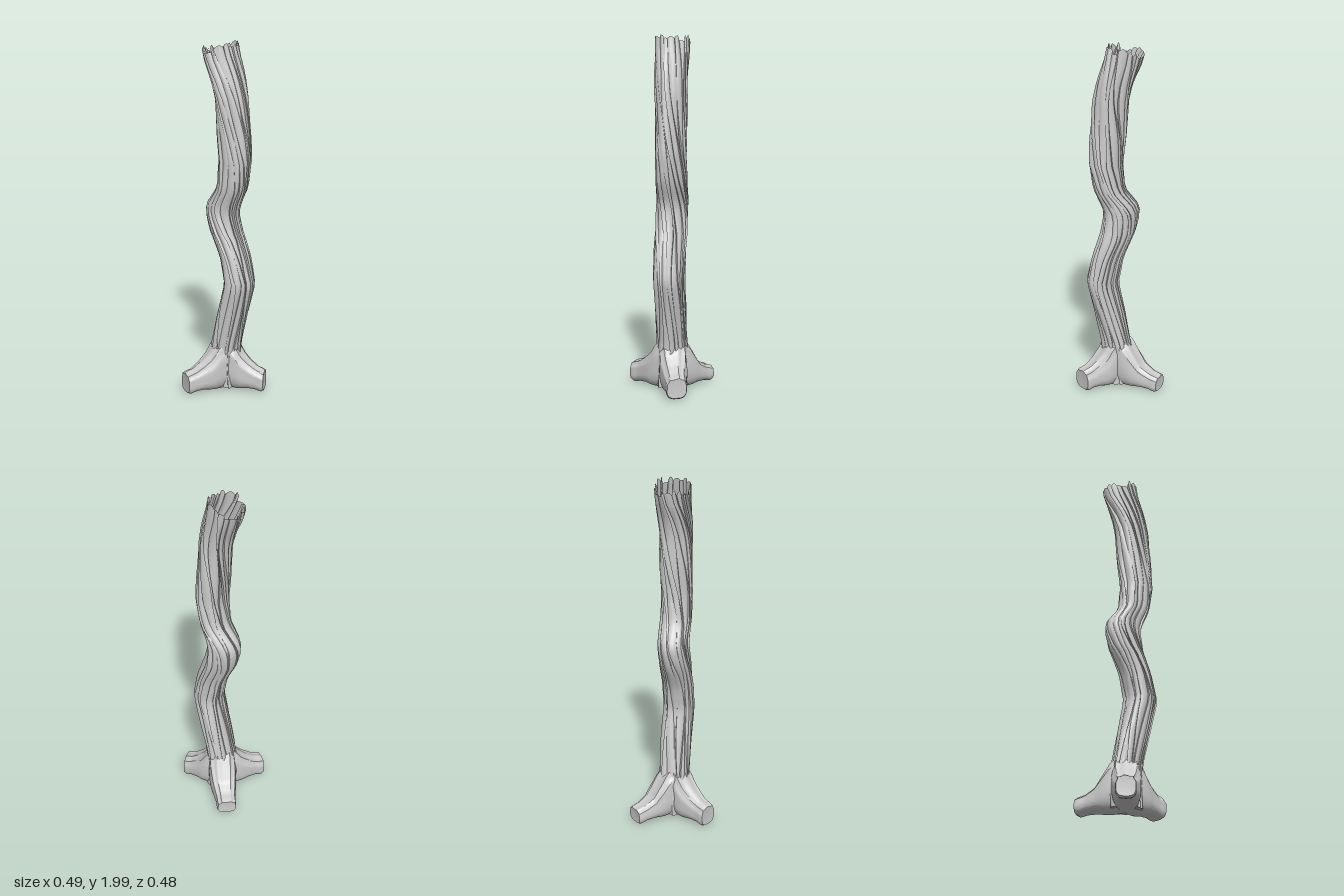
import * as THREE from 'three';
import { toCreasedNormals } from 'three/addons/utils/BufferGeometryUtils.js';

const material = new THREE.MeshStandardMaterial({ color: 0xcccccc, side: THREE.DoubleSide });

// Skin a list of closed rings of Vector3
function loft(rings, name) {
  const n = rings[0].length, index = [];
  const positions = rings.flat().flatMap((p) => [p.x, p.y, p.z]);
  for (let i = 0; i < rings.length - 1; i++) {
    for (let j = 0; j < n; j++) {
      const a = i * n + j, b = i * n + (j + 1) % n;
      index.push(a, a + n, b, b, a + n, b + n);
    }
  }
  const g = new THREE.BufferGeometry();
  g.setAttribute('position', new THREE.Float32BufferAttribute(positions, 3));
  g.setIndex(index);
  const mesh = new THREE.Mesh(toCreasedNormals(g, 0.6), material);
  mesh.name = name;
  return mesh;
}

// Piecewise linear lookup in rows of [key, value, ...]
function sample(rows, t, col) {
  let i = 0;
  while (i < rows.length - 2 && t > rows[i + 1][0]) i++;
  const [a, b] = [rows[i], rows[i + 1]];
  const k = THREE.MathUtils.clamp((t - a[0]) / (b[0] - a[0]), 0, 1);
  return a[col] + (b[col] - a[col]) * k;
}

// Repeatable value in 0..1
const hash = (i) => { const v = Math.sin(i * 127.1 + 3.7) * 43758.5453; return v - Math.floor(v); };

// Trunk: height, centre x, half width in x
const trunkRows = [
  [0.02, -0.005, 0.09], [0.15, -0.012, 0.095], [0.28, 0.004, 0.086], [0.45, 0.04, 0.09],
  [0.65, 0.088, 0.092], [0.8, 0.056, 0.09], [0.95, -0.008, 0.1], [1.05, -0.03, 0.103],
  [1.1, -0.017, 0.106], [1.2, 0.043, 0.09], [1.35, 0.06, 0.096], [1.5, 0.048, 0.1],
  [1.7, 0.034, 0.098], [1.8, 0.012, 0.098], [1.95, -0.042, 0.102],
];
// Twist of the bark with height
const twistRows = [[0, 0], [0.3, 0.1], [0.9, 0.35], [1.1, 0.8], [1.5, 1.4], [1.95, 2.2]];

function buildTrunk() {
  const strips = 19, perStrip = 6, levels = 48, rings = [];
  for (let i = 0; i <= levels; i++) {
    const y = 0.02 + 1.93 * i / levels;
    const cx = sample(trunkRows, y, 1), rx = sample(trunkRows, y, 2);
    const twist = sample(twistRows, y, 1), ring = [];
    for (let s = 0; s < strips; s++) {
      // each strip rises to a lip, then drops sharply to the next one
      const lift = 0.1 + 0.11 * Math.sin(y * (4 + 5 * hash(s)) + 9 * hash(s + 40));
      const wander = 0.4 * Math.sin(y * 6 + 6.3 * hash(s + 80));
      const nextWander = 0.4 * Math.sin(y * 6 + 6.3 * hash((s + 1) % strips + 80));
      for (let k = 0; k < perStrip; k++) {
        const f = Math.min(k / (perStrip - 1), 0.97);
        const u = (s + f + wander * (1 - f) + nextWander * f) / strips * Math.PI * 2 + twist;
        const r = 0.9 + lift * (f - 0.4) + 0.05 * Math.sin(f * Math.PI)
          + 0.03 * Math.sin(3 * u + y * 5);
        // ragged top edge, higher on the right
        const tip = i === levels ? 0.045 * hash(s + 11) * Math.sin(Math.PI * (0.15 + 0.7 * f)) : 0;
        const tilt = 0.022 * Math.cos(u) * Math.max(0, (y - 1.7) / 0.25);
        ring.push(new THREE.Vector3(
          cx + rx * r * Math.cos(u),
          Math.min(y + tip + tilt, 2),
          -0.018 + (0.091 + Math.max(0, y - 1.6) * 0.025) * r * Math.sin(u)));
      }
    }
    rings.push(ring);
  }
  // close the underside
  rings.unshift(rings[0].map(() => new THREE.Vector3(0, 0.025, -0.018)));
  return loft(rings, 'trunk');
}

// Root: flared at the trunk, thinning to a blunt grooved end
function buildRoot(name, endX, endZ, endTop, endHalf, skew, seed) {
  const start = new THREE.Vector3(0, 0, -0.018);
  const dir = new THREE.Vector3(endX, 0, endZ).sub(start);
  const length = dir.length();
  dir.normalize();
  const side = new THREE.Vector3(-dir.z, 0, dir.x);
  // fraction of length: top height, bottom height, half width
  const rows = [
    [0, 0.34, 0.012, 0.075], [0.28, 0.285, 0.006, 0.08], [0.42, 0.225, 0.008, 0.078],
    [0.6, endTop + 0.045, 0.016, 0.068], [0.8, endTop + 0.01, 0.014, endHalf],
    [0.94, endTop, 0.004, endHalf], [1, endTop - 0.008, 0.014, endHalf * 0.93],
  ];
  const n = 48, rings = [];
  for (let i = 0; i <= 20; i++) {
    const t = i / 20, ring = [];
    const top = sample(rows, t, 1), bottom = sample(rows, t, 2), half = sample(rows, t, 3);
    for (let j = 0; j < n; j++) {
      const u = j / n * Math.PI * 2, c = Math.cos(u), s = Math.sin(u);
      // rounded block section with shallow grooves over the upper side
      const groove = 1 - 0.1 * Math.max(0, s + 0.3) * Math.abs(Math.sin(u * 4.5 + seed + t * 0.6));
      const w = half * Math.sign(c) * Math.abs(c) ** 0.65 * groove;
      const h = (top + bottom) / 2 + (top - bottom) / 2 * Math.sign(s) * Math.abs(s) ** 0.7 * groove;
      const along = t * length + skew * w * t * t;
      ring.push(start.clone().addScaledVector(dir, along).addScaledVector(side, w).setY(h));
    }
    rings.push(ring);
  }
  // blunt end cap
  const tip = start.clone().addScaledVector(dir, length - 0.004).setY((endTop + 0.012) / 2);
  rings.push(rings[20].map(() => tip.clone()));
  return loft(rings, name);
}

export function createModel() {
  const model = new THREE.Group();
  model.name = 'gnarledTrunk';
  model.add(
    buildTrunk(),
    buildRoot('backRightRoot', -0.209, -0.197, 0.105, 0.058, 0, 0.4),
    buildRoot('leftRoot', 0.222, -0.083, 0.135, 0.06, 0.15, 1.3),
    buildRoot('frontRoot', -0.118, 0.216, 0.135, 0.056, 0, 2.1),
  );
  return model;
}
